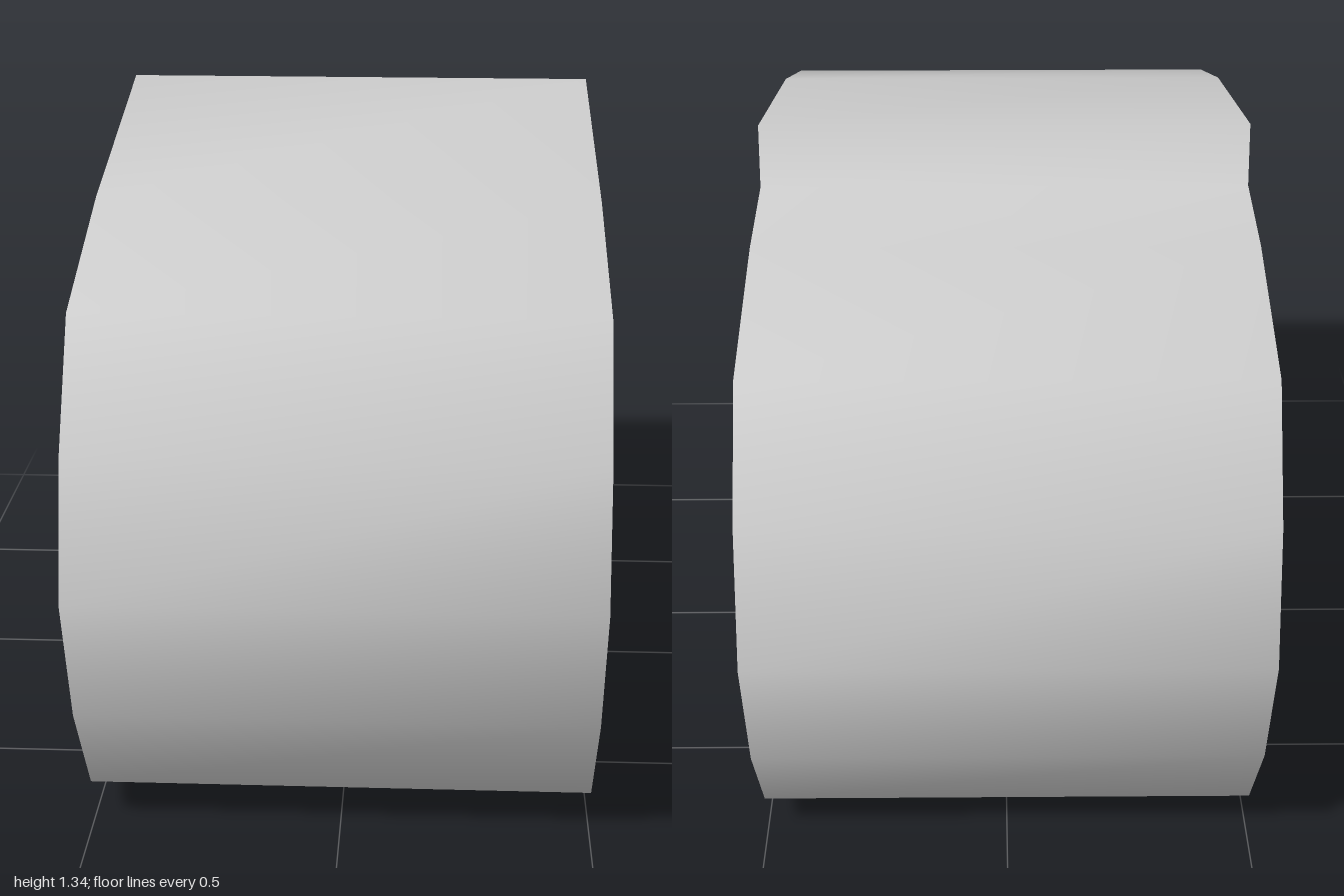
import * as THREE from 'three';

// Side outline as [z, y], from the front tip over the top, round the back and along the base
const OUTLINE = [
  [1, 0.6], [0.925, 0.86], [0.785, 1.09], [0.42, 1.21],
  [-0.16, 1.335], [-0.185, 1.21],            // step in the top
  [-0.42, 1.185], [-0.78, 1.09], [-0.925, 0.86], [-1, 0.6],
  [-0.925, 0.33], [-0.78, 0.1], [-0.41, 0], [-0.12, 0.012],
  [0.42, 0], [0.785, 0.1], [0.925, 0.33],
];
const HALF_WIDTH = 0.5;
const MID_Y = 0.6;

function createBody() {
  const n = OUTLINE.length;
  const inset = OUTLINE.map(([z, y]) => [z * 0.91, MID_Y + (y - MID_Y) * 0.82]);

  // Four loops: inset and rim on the right side, then rim and inset on the left
  const loops = [
    [inset, -HALF_WIDTH], [OUTLINE, -HALF_WIDTH],
    [OUTLINE, HALF_WIDTH], [inset, HALF_WIDTH],
  ];
  const positions = loops.flatMap(([loop, x]) => loop.flatMap(([z, y]) => [x, y, z]));

  // Bands between neighbouring loops
  const index = [];
  for (let k = 0; k < loops.length - 1; k++) {
    for (let i = 0; i < n; i++) {
      const j = (i + 1) % n;
      const a = k * n + i, b = a + n, c = (k + 1) * n + j, d = k * n + j;
      index.push(a, b, c, a, c, d);
    }
  }

  // Flat side panels inside the inset loops
  const contour = inset.map(([z, y]) => new THREE.Vector2(z, y));
  const last = 3 * n;
  for (const [a, b, c] of THREE.ShapeUtils.triangulateShape(contour, [])) {
    index.push(a, b, c, last + a, last + c, last + b);
  }

  const geometry = new THREE.BufferGeometry();
  geometry.setAttribute('position', new THREE.Float32BufferAttribute(positions, 3));
  geometry.setIndex(index);
  geometry.computeVertexNormals(); // shared corners give the soft rim shading
  return geometry;
}

export function createModel() {
  const group = new THREE.Group();
  const body = new THREE.Mesh(
    createBody(),
    new THREE.MeshStandardMaterial({ color: 0xcccccc }),
  );
  body.name = 'steppedBody';
  group.add(body);
  return group;
}
